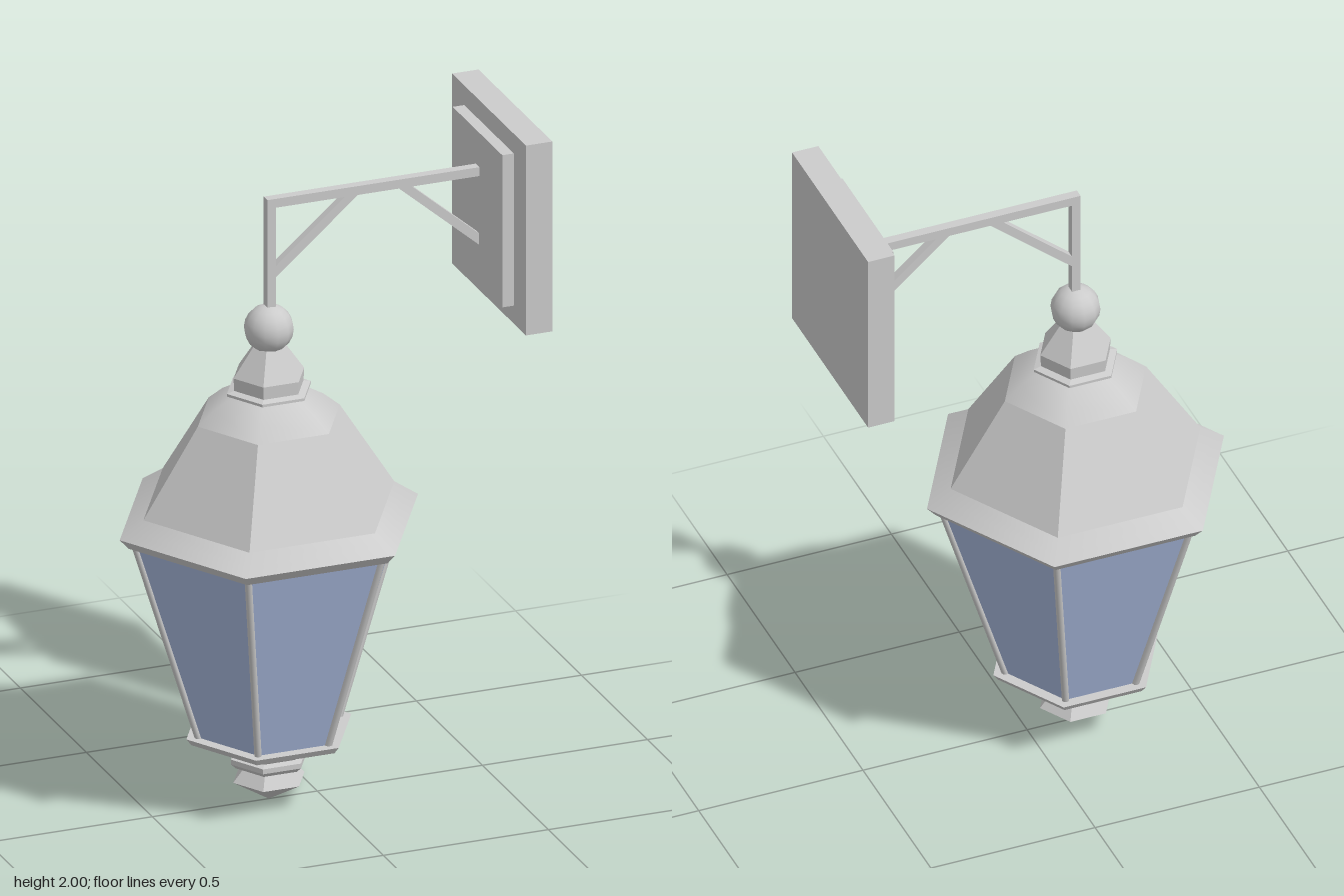
import * as THREE from 'three';

const AXIS_X = -0.147; // vertical axis of the lantern
const grey = new THREE.MeshStandardMaterial({ color: 0xcccccc });
const greyFlat = new THREE.MeshStandardMaterial({ color: 0xcccccc, flatShading: true });
const glass = new THREE.MeshStandardMaterial({ color: 0xa8b8dc, flatShading: true, side: THREE.DoubleSide });

function addMesh(parent, name, geometry, material) {
  const mesh = new THREE.Mesh(geometry, material);
  mesh.name = name;
  parent.add(mesh);
  return mesh;
}

// Six-sided ring from a [radius, height] profile, bottom to top, with corners on the x axis
function hexPart(parent, name, profile, material = greyFlat) {
  const points = profile.map(([r, y]) => new THREE.Vector2(r, y));
  return addMesh(parent, name, new THREE.LatheGeometry(points, 6, Math.PI / 6), material);
}

function box(parent, name, x0, x1, y0, y1, halfDepth) {
  const mesh = addMesh(parent, name, new THREE.BoxGeometry(x1 - x0, y1 - y0, halfDepth * 2), greyFlat);
  mesh.position.set((x0 + x1) / 2, (y0 + y1) / 2, 0);
  return mesh;
}

// Square bar running between two points in the x-y plane
function brace(parent, name, x0, y0, x1, y1) {
  const length = Math.hypot(x1 - x0, y1 - y0);
  const mesh = addMesh(parent, name, new THREE.BoxGeometry(length, 0.026, 0.026), greyFlat);
  mesh.position.set((x0 + x1) / 2, (y0 + y1) / 2, 0);
  mesh.rotation.z = Math.atan2(y1 - y0, x1 - x0);
  return mesh;
}

// Round rod between two points
function rod(parent, name, a, b, radius) {
  const dir = b.clone().sub(a);
  const mesh = addMesh(parent, name, new THREE.CylinderGeometry(radius, radius, dir.length(), 8), grey);
  mesh.position.copy(a).add(b).multiplyScalar(0.5);
  mesh.quaternion.setFromUnitVectors(new THREE.Vector3(0, 1, 0), dir.normalize());
  return mesh;
}

export function createModel() {
  const model = new THREE.Group();
  model.name = 'wallLantern';

  const lantern = new THREE.Group();
  lantern.name = 'lantern';
  lantern.position.x = AXIS_X;
  model.add(lantern);

  // Pendant finial under the lantern
  hexPart(lantern, 'finialTip', [[0, 0], [0.108, 0.065]], grey);
  hexPart(lantern, 'finialBase', [
    [0.108, 0.065], [0.075, 0.105], [0.1, 0.108], [0.115, 0.122],
    [0.115, 0.137], [0.092, 0.142], [0.165, 0.2],
  ]);

  // Bottom tray holding the glass
  hexPart(lantern, 'bottomTray', [[0.165, 0.2], [0.235, 0.2], [0.25, 0.22], [0, 0.22]]);

  // Tapered glass panes and the bars along their corners
  hexPart(lantern, 'glassPanes', [[0.212, 0.215], [0.408, 0.84]], glass);
  const corner = (i, r, y) => new THREE.Vector3(Math.cos(i * Math.PI / 3) * r, y, Math.sin(i * Math.PI / 3) * r);
  for (let i = 0; i < 6; i++) {
    rod(lantern, 'cornerBar' + (i + 1), corner(i, 0.212, 0.215), corner(i, 0.406, 0.84), 0.011);
  }

  // Roof: flared rim, faceted slopes, rounded cap
  hexPart(lantern, 'roofUnderside', [[0, 0.83], [0.425, 0.83], [0.452, 0.86]]);
  hexPart(lantern, 'roofRim', [[0.452, 0.86], [0.42, 0.882], [0.38, 0.91]], grey);
  hexPart(lantern, 'roofSlopes', [[0.38, 0.91], [0.215, 1.17]]);
  hexPart(lantern, 'roofCap', [[0.215, 1.17], [0.165, 1.212], [0.125, 1.235], [0.105, 1.245]], grey);

  // Collar and neck above the roof
  hexPart(lantern, 'collar', [[0.105, 1.242], [0.127, 1.248], [0.127, 1.256], [0.105, 1.262], [0, 1.262]]);
  hexPart(lantern, 'neck', [[0.105, 1.26], [0.107, 1.3], [0.048, 1.385], [0, 1.385]]);
  const ball = addMesh(lantern, 'ball', new THREE.SphereGeometry(0.071, 12, 10), grey);
  ball.position.y = 1.438;

  // Bracket with hanging rod, arm and two diagonal braces
  const bracket = new THREE.Group();
  bracket.name = 'bracket';
  model.add(bracket);
  box(bracket, 'hangingRod', -0.157, -0.131, 1.46, 1.81, 0.014);
  box(bracket, 'arm', -0.157, 0.49, 1.808, 1.835, 0.014);
  brace(bracket, 'outerBrace', -0.145, 1.6, 0.11, 1.818);
  brace(bracket, 'wallBrace', 0.25, 1.818, 0.494, 1.607);

  // Stepped mount on the wall side
  box(bracket, 'mountingPlate', 0.485, 0.52, 1.475, 1.94, 0.188);
  box(bracket, 'wallBlock', 0.52, 0.6, 1.42, 2, 0.28);

  return model;
}
